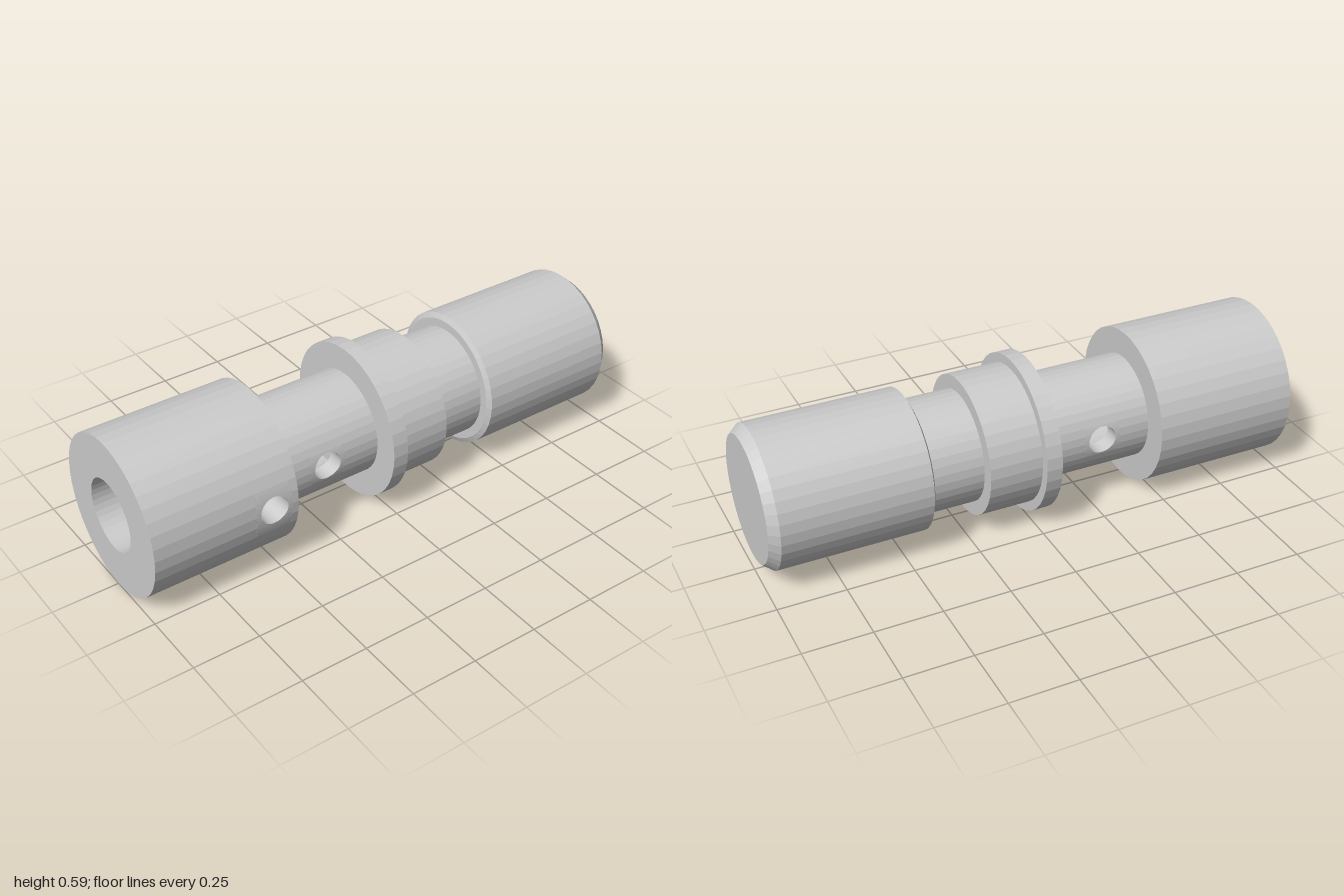
import * as THREE from 'three';

const SIDES = 40, STEP = (2 * Math.PI) / SIDES;
const CY = 0.296;                 // height of the long axis
const BORE = 0.135, BORE_END = -0.14;
const HOLE = 0.054, PATCH = 0.07; // cross hole radius, half length of the patch around it
const BODY = 0.295, NECK = 0.196;
const material = new THREE.MeshStandardMaterial({ color: 0xcccccc, flatShading: true });

// Point on a cylinder about the x axis; phi = 0 faces the front
const onCylinder = (x, phi, r) => [x, r * Math.sin(phi), r * Math.cos(phi)];

// Quad grid from a rule f(u, v), u and v in 0..1
function grid(nu, nv, f) {
  const pos = [], index = [];
  for (let i = 0; i <= nu; i++) for (let j = 0; j <= nv; j++) pos.push(...f(i / nu, j / nv));
  for (let i = 0; i < nu; i++) for (let j = 0; j < nv; j++) {
    const a = i * (nv + 1) + j, b = a + nv + 1;
    index.push(a, b, a + 1, b, b + 1, a + 1);
  }
  const g = new THREE.BufferGeometry();
  g.setAttribute('position', new THREE.Float32BufferAttribute(pos, 3));
  g.setIndex(index);
  g.computeVertexNormals();
  return g;
}

// Turned part from [x, radius] points, listed towards +x for an outside surface
function turned(points) {
  const g = new THREE.LatheGeometry(points.map(([x, r]) => new THREE.Vector2(r, x)), SIDES);
  return g.rotateZ(-Math.PI / 2);
}

const band = (r, x0, x1, p0, p1) =>
  grid(1, Math.round((p1 - p0) / STEP), (u, v) => onCylinder(x0 + (x1 - x0) * u, p0 + (p1 - p0) * v, r));

// Cylinder wall pierced by round holes at xc, at the given angles; x1 < x0 makes it face inwards
function piercedWall(r, x0, x1, xc, angles) {
  const dir = Math.sign(x1 - x0), s = PATCH * dir;
  const half = STEP * Math.ceil(Math.asin(0.06 / r) / STEP);
  const parts = [turned([[x0, r], [xc - s, r]]), turned([[xc + s, r], [x1, r]])];
  angles.forEach((phi, k) => {
    const next = k + 1 < angles.length ? angles[k + 1] : angles[0] + 2 * Math.PI;
    parts.push(band(r, xc - s, xc + s, phi + half, next - half));
    // Patch blending from the round hole to a rectangle
    parts.push(grid(3, 32, (u, v) => {
      const t = v * 2 * Math.PI * dir, c = Math.cos(t), d = Math.sin(t);
      const m = Math.max(Math.abs(c), Math.abs(d));
      const x = THREE.MathUtils.lerp(HOLE * c, PATCH * c / m, u);
      const a = THREE.MathUtils.lerp(Math.asin(HOLE * d / r), half * d / m, u);
      return onCylinder(xc + x, phi + a, r);
    }));
  });
  return parts;
}

// Lining of a cross hole from the bore to the outer wall
function holeLining(r, xc, phi) {
  return grid(1, 32, (u, v) => {
    const t = v * 2 * Math.PI, h = HOLE * Math.sin(t), sign = Math.cos(phi);
    const z = THREE.MathUtils.lerp(Math.sqrt(BORE * BORE - h * h), Math.sqrt(r * r - h * h), u);
    return [xc + HOLE * Math.cos(t), h * sign, z * sign];
  });
}

export function createModel() {
  const model = new THREE.Group();
  model.name = 'valveSpool';
  const add = (name, ...geometries) => {
    const part = new THREE.Group();
    part.name = name;
    for (const g of geometries) {
      const mesh = new THREE.Mesh(g, material);
      mesh.name = name + 'Surface';
      mesh.position.y = CY;
      part.add(mesh);
    }
    model.add(part);
  };
  const bodyHole = -0.545, neckHole = -0.262, both = [0, Math.PI];

  // Hollow end body with one side hole
  add('hollowBody', turned([[-1, BORE], [-1, BODY]]),
    ...piercedWall(BODY, -1, -0.45, bodyHole, [0]),
    turned([[-0.45, BODY], [-0.45, NECK]]));
  // Neck drilled right through
  add('neck', ...piercedWall(NECK, -0.45, -0.05, neckHole, both));
  // Blind bore inside body and neck
  add('bore', turned([[BORE_END, 0], [BORE_END, BORE]]),
    ...piercedWall(BORE, BORE_END, -0.4, neckHole, both),
    ...piercedWall(BORE, -0.4, -1, bodyHole, [0]));
  add('crossHoles', holeLining(BODY, bodyHole, 0), ...both.map((phi) => holeLining(NECK, neckHole, phi)));
  // Solid turned sections
  add('collar', turned([[-0.05, NECK], [-0.05, BODY]]), turned([[-0.05, BODY], [0.01, BODY]]),
    turned([[0.01, BODY], [0.01, 0.26]]));
  add('middleLand', turned([[0.01, 0.26], [0.21, 0.26]]), turned([[0.21, 0.26], [0.21, 0.208]]));
  add('groove', turned([[0.21, 0.208], [0.41, 0.208]]));
  add('endLand', turned([[0.41, 0.208], [0.41, 0.24]]), turned([[0.41, 0.24], [0.42, 0.26]]),
    turned([[0.42, 0.26], [0.965, 0.26]]), turned([[0.965, 0.26], [1, 0.23]]), turned([[1, 0.23], [1, 0]]));
  return model;
}
